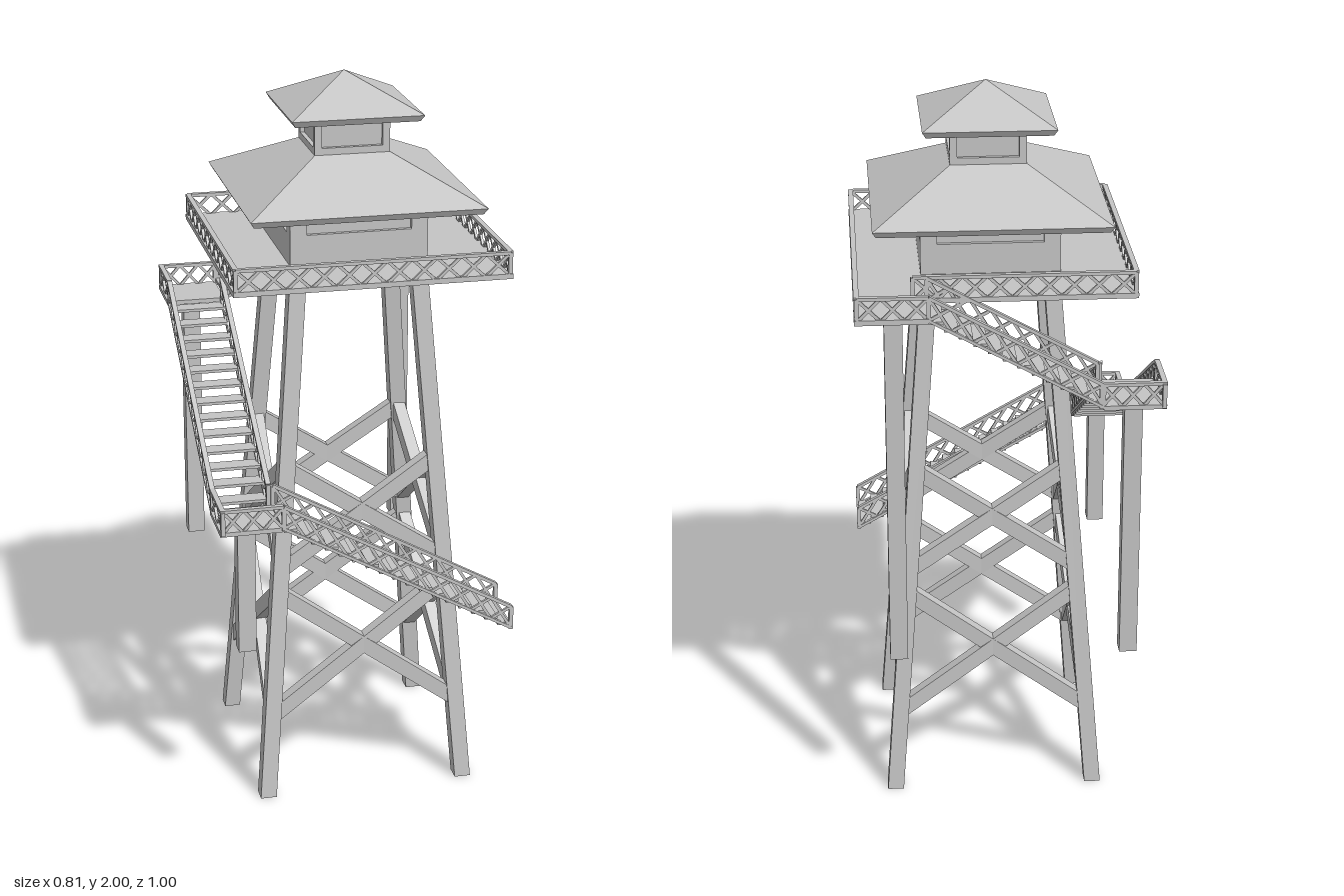
import * as THREE from 'three';
import { mergeGeometries } from 'three/addons/utils/BufferGeometryUtils.js';

const CX = 0.03, CZ = 0.025; // tower axis
const V = (x, y, z) => new THREE.Vector3(x, y, z);

export function createModel() {
  const model = new THREE.Group();
  model.name = 'watchtower';
  const grey = new THREE.MeshStandardMaterial({ color: 0xc4c4c4 });
  grey.name = 'light grey';

  const add = (name, geos) => {
    const mesh = new THREE.Mesh(mergeGeometries([geos].flat()), grey);
    mesh.name = name;
    model.add(mesh);
    return mesh;
  };

  // Box given by its lowest and highest corners
  const block = (x0, x1, y0, y1, z0, z1) =>
    new THREE.BoxGeometry(x1 - x0, y1 - y0, z1 - z0)
      .translate((x0 + x1) / 2, (y0 + y1) / 2, (z0 + z1) / 2);

  // Straight bar from p to q, w wide and h high
  const bar = (p, q, w, h) => {
    const dir = q.clone().sub(p), len = dir.length();
    dir.normalize();
    const up = Math.abs(dir.y) > 0.99 ? V(0, 0, 1) : V(0, 1, 0);
    const side = up.cross(dir).normalize();
    const m = new THREE.Matrix4().makeBasis(side, dir.clone().cross(side), dir);
    m.setPosition(p.clone().add(q).multiplyScalar(0.5));
    return new THREE.BoxGeometry(w, h, len).applyMatrix4(m);
  };

  // Lattice railing standing on the line from p to q
  const H = 0.066;
  const railing = (name, p, q) => {
    const lift = (v, d) => v.clone().setY(v.y + d);
    const geos = [
      bar(lift(p, 0.004), lift(q, 0.004), 0.012, 0.008),
      bar(lift(p, H), lift(q, H), 0.014, 0.009),
      bar(p, lift(p, H), 0.011, 0.011),
      bar(q, lift(q, H), 0.011, 0.011),
    ];
    const n = Math.max(2, Math.round(p.distanceTo(q) / 0.064));
    for (let i = 0; i < n; i++) {
      const a = p.clone().lerp(q, i / n), b = p.clone().lerp(q, (i + 1) / n);
      geos.push(bar(lift(a, 0.004), lift(b, H), 0.007, 0.008));
      geos.push(bar(lift(a, H), lift(b, 0.004), 0.007, 0.008));
    }
    add(name, geos);
  };

  // Legs: square posts leaning toward the axis
  const spread = (y) => 0.2825 - 0.0783 * y;
  const legPoint = (sx, sz, y) => V(CX + sx * spread(y), y, CZ + sz * spread(y));
  for (const sx of [-1, 1]) for (const sz of [-1, 1]) {
    const geo = new THREE.BoxGeometry(0.045, 1.512, 0.045).translate(0, 0.756, 0);
    const pos = geo.attributes.position;
    for (let i = 0; i < pos.count; i++) {
      const c = legPoint(sx, sz, pos.getY(i));
      pos.setX(i, pos.getX(i) + c.x);
      pos.setZ(i, pos.getZ(i) + c.z);
    }
    geo.computeVertexNormals();
    add('leg', geo);
  }

  // Two tiers of crossed braces on each side
  const corners = [[-1, 1], [1, 1], [1, -1], [-1, -1]];
  corners.forEach((a, i) => {
    const b = corners[(i + 1) % 4];
    for (const [lo, hi] of [[0.24, 0.6], [0.67, 0.96]]) {
      add('crossBrace', [
        bar(legPoint(...a, lo), legPoint(...b, hi), 0.034, 0.042),
        bar(legPoint(...a, hi), legPoint(...b, lo), 0.034, 0.042),
      ]);
    }
  });

  // Main platform with a back extension at the stair head
  add('platform', [
    block(-0.345, 0.4, 1.508, 1.522, -0.345, 0.4),
    block(0.21, 0.4, 1.508, 1.522, -0.494, -0.345),
  ]);
  const P = 1.512;
  railing('platformRailingFront', V(-0.338, P, 0.393), V(0.393, P, 0.393));
  railing('platformRailingRight', V(-0.338, P, 0.393), V(-0.338, P, -0.338));
  railing('platformRailingLeft', V(0.393, P, 0.393), V(0.393, P, -0.487));
  railing('platformRailingBack', V(-0.338, P, -0.338), V(0.245, P, -0.338));
  railing('extensionRailing', V(0.21, P, -0.487), V(0.393, P, -0.487));

  // Landings, railed on their two outer sides
  for (const [name, y, z0, z1, zo] of [
    ['lowerLanding', 0.888, 0.33, 0.49, 0.484],
    ['upperLanding', 1.26, -0.494, -0.335, -0.487],
  ]) {
    add(name, block(-0.405, -0.24, y - 0.004, y + 0.008, z0, z1));
    railing(name + 'EndRailing', V(-0.398, y, zo), V(-0.235, y, zo));
    railing(name + 'SideRailing', V(-0.398, y, z0), V(-0.398, y, z1));
  }

  // Support posts under the landings and the extension
  for (const [x, z, top] of [[-0.325, 0.405, 0.888], [-0.325, -0.42, 1.26], [0.3, -0.42, 1.51]]) {
    add('supportPost', block(x - 0.024, x + 0.024, 0.515, top, z - 0.024, z + 0.024));
  }

  // Flight of open treads between two sloping railings; off is half its width
  const stair = (name, p, q, off, n) => {
    const alongX = Math.abs(q.x - p.x) > Math.abs(q.z - p.z);
    const run = (alongX ? Math.abs(q.x - p.x) : Math.abs(q.z - p.z)) / n;
    const treads = [];
    for (let i = 0; i < n; i++) {
      const c = p.clone().lerp(q, (i + 0.5) / n);
      const w = off * 2, d = run * 0.96;
      treads.push(new THREE.BoxGeometry(alongX ? d : w, 0.008, alongX ? w : d)
        .translate(c.x, c.y + 0.006, c.z));
    }
    add(name + 'Treads', treads);
    for (const s of [-1, 1]) {
      const o = alongX ? V(0, 0, s * off) : V(s * off, 0, 0);
      railing(name + 'Railing', p.clone().add(o), q.clone().add(o));
    }
  };
  stair('frontStair', V(0.394, 0.535, 0.41), V(-0.235, 0.888, 0.41), 0.075, 17);
  stair('sideStair', V(-0.322, 0.888, 0.33), V(-0.322, 1.26, -0.335), 0.076, 13);
  stair('backStair', V(-0.24, 1.26, -0.413), V(0.21, 1.512, -0.413), 0.074, 12);

  // Cabin: solid core, sill and header bands, corner posts around recessed windows
  const cabin = (name, r, y0, sill, head, y1, post) => {
    const square = (h, a, b) => block(CX - h, CX + h, a, b, CZ - h, CZ + h);
    const geos = [square(r - 0.012, sill, head), square(r, y0, sill), square(r, head, y1)];
    for (const [sx, sz] of corners) {
      geos.push(new THREE.BoxGeometry(post, head - sill, post)
        .translate(CX + sx * (r - post / 2), (sill + head) / 2, CZ + sz * (r - post / 2)));
    }
    add(name, geos);
  };
  cabin('lowerCabin', 0.1875, 1.522, 1.605, 1.665, 1.73, 0.045);
  cabin('upperCabin', 0.1025, 1.77, 1.815, 1.885, 1.93, 0.02);

  // Four-sided roofs with a thin sloping eave
  const roof = (name, r, eave, apex) => {
    const k = Math.SQRT2;
    const profile = [[0, apex - 0.022], [(r - 0.01) * k, eave - 0.017], [r * k, eave], [0, apex]]
      .map(([x, y]) => new THREE.Vector2(x, y));
    const geo = new THREE.LatheGeometry(profile, 4, Math.PI / 4).toNonIndexed();
    geo.computeVertexNormals();
    add(name, geo.translate(CX, 0, CZ));
  };
  roof('lowerRoof', 0.316, 1.685, 1.85);
  roof('upperRoof', 0.178, 1.908, 2.0);

  return model;
}
